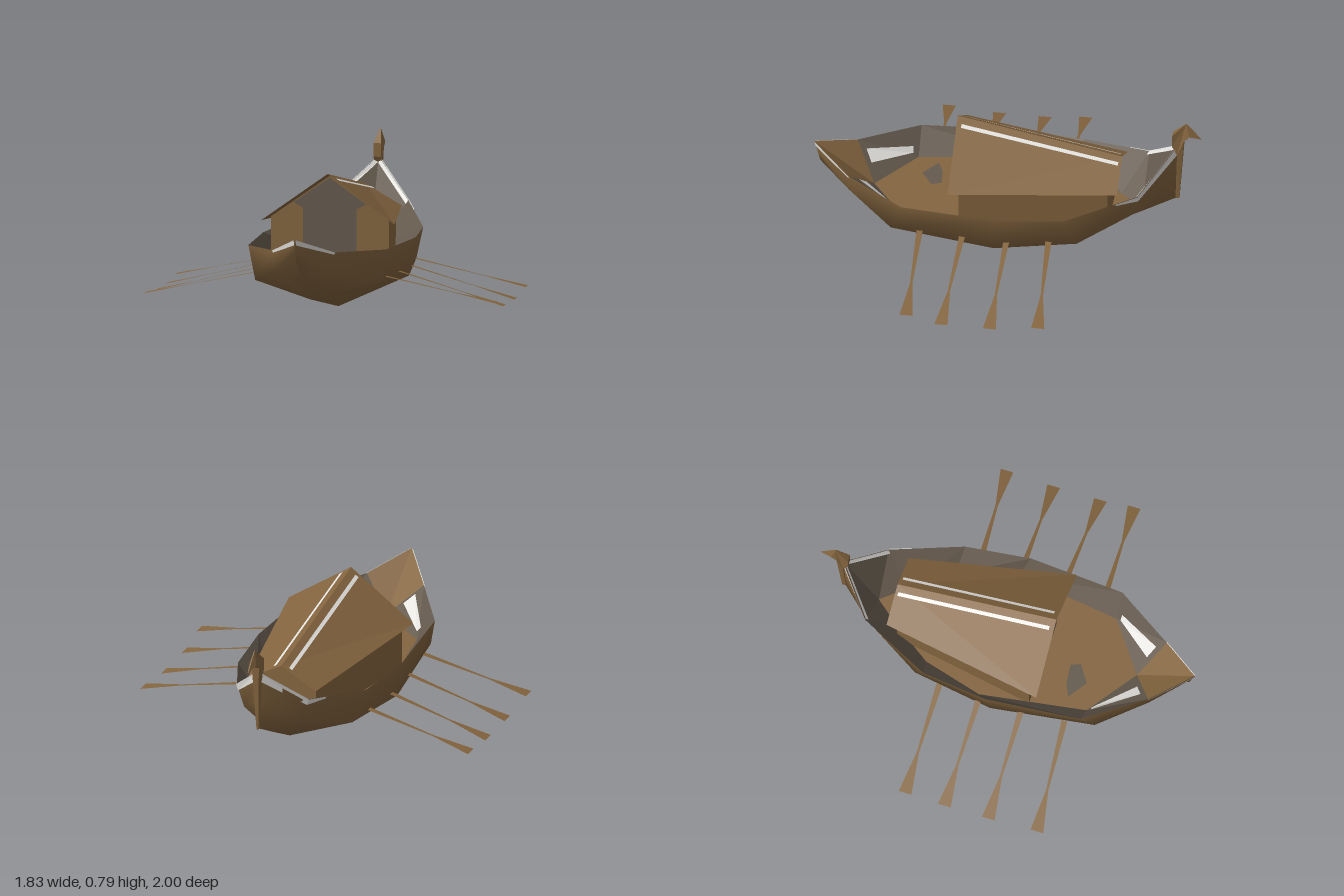
import * as THREE from 'three';

const material = (name, color) => {
  const m = new THREE.MeshStandardMaterial({ color, side: THREE.DoubleSide });
  m.name = name;
  return m;
};

export function createModel() {
  const group = new THREE.Group();
  const wood = material('brown wood', 0x84653f);
  const worn = material('grey wood', 0x655a4e);
  const white = material('white trim', 0xe6e4e0);

  const add = (name, geometry, mat) => {
    const mesh = new THREE.Mesh(geometry, mat);
    mesh.name = name;
    group.add(mesh);
    return mesh;
  };
  // Surface through rows of points, one row per cross-section
  const loft = (rows, smooth = false) => {
    const n = rows[0].length, index = [];
    for (let i = 0; i < rows.length - 1; i++) {
      for (let j = 0; j < n - 1; j++) {
        const a = i * n + j, b = a + 1, c = a + n, d = c + 1;
        index.push(a, b, c, b, d, c);
      }
    }
    let g = new THREE.BufferGeometry();
    g.setAttribute('position', new THREE.Float32BufferAttribute(rows.flat(2), 3));
    g.setIndex(index);
    if (!smooth) g = g.toNonIndexed();
    g.computeVertexNormals();
    return g;
  };
  const strip = (p, q) => loft(p.map((a, i) => [a, q[i]]));
  // Flat polygon fanned from its first corner
  const fan = (pts) => {
    const index = [];
    for (let i = 1; i < pts.length - 1; i++) index.push(0, i, i + 1);
    const g = new THREE.BufferGeometry();
    g.setAttribute('position', new THREE.Float32BufferAttribute(pts.flat(), 3));
    g.setIndex(index);
    g.computeVertexNormals();
    return g;
  };
  const mirrored = (name, geometry, mat) => {
    add('left' + name, geometry, mat);
    add('right' + name, geometry, mat).scale.x = -1;
  };
  const lerp = (a, b, t) => a.map((v, i) => v + (b[i] - v) * t);
  const shift = (p, x, y, z) => [p[0] + x, p[1] + y, p[2] + z];
  const flip = ([x, y, z]) => [-x, y, z];

  // Hull stations from bow to stern: sheer, chine, keel
  const stations = [
    [[0, 0.475, 1], [0, 0.42, 0.985], [0, 0.36, 0.97]],
    [[0.16, 0.39, 0.8], [0.14, 0.29, 0.8], [0, 0.235, 0.8]],
    [[0.36, 0.37, 0.5], [0.31, 0.2, 0.56], [0, 0.12, 0.64]],
    [[0.4, 0.365, 0], [0.37, 0.17, 0.02], [0, 0, 0.02]],
    [[0.36, 0.37, -0.34], [0.31, 0.2, -0.4], [0, 0.1, -0.49]],
    [[0.2, 0.45, -0.7], [0.16, 0.33, -0.7], [0, 0.22, -0.7]],
    [[0, 0.65, -0.88], [0, 0.48, -0.875], [0, 0.32, -0.87]],
  ];
  add('hull', loft(stations.map(([s, c, k]) => [s, c, k, flip(c), flip(s)]), true), wood);

  // Deck and the sloping inner walls
  const sheer = stations.map((s) => s[0]);
  const Y = 0.24;
  const edge = [[0, Y, 0.69], [0, Y, 0.69], [0.26, Y, 0.5], [0.34, Y, -0.05],
    [0.25, Y, -0.36], [0.1, Y, -0.57], [0, Y, -0.69]];
  const deckEdge = edge.slice(1);
  add('deck', strip(deckEdge.map(flip), deckEdge), wood);
  mirrored('BowLining', strip(edge.slice(0, 2), sheer.slice(0, 2)), wood);
  mirrored('InnerWall', strip(edge.slice(1), sheer.slice(1)), worn);
  add('wornDeckPatch', fan([[-0.22, Y + 0.005, 0.39], [-0.12, Y + 0.005, 0.46],
    [-0.03, Y + 0.005, 0.4], [-0.05, Y + 0.005, 0.35], [-0.15, Y + 0.005, 0.36]]), worn);

  // White bands outside the bow and stern rims
  const band = (a, b, tA, tB) => {
    const top = [a[0], b[0]].map((p) => shift(p, 0.005, 0, 0));
    const low = [lerp(a[0], a[1], tA), lerp(b[0], b[1], tB)].map((p) => shift(p, 0.005, 0, 0));
    return strip(top, low);
  };
  const quarter = [0, 1, 2].map((k) => lerp(stations[4][k], stations[5][k], 0.7));
  mirrored('BowBand', band(stations[0], stations[1], 0.5, 0.12), white);
  mirrored('QuarterBand', band(quarter, stations[5], 0.08, 0.28), white);
  mirrored('SternBand', band(stations[5], stations[6], 0.28, 0.3), white);

  // White trim on the inner walls
  const inner = (i, u, t) => shift(
    lerp(lerp(edge[i], edge[i + 1], u), lerp(sheer[i], sheer[i + 1], u), t), -0.003, 0.006, 0);
  mirrored('BowStripe', strip([inner(1, 0.08, 0.42), inner(1, 0.88, 0.2)],
    [inner(1, 0.08, 0.75), inner(1, 0.88, 0.4)]), white);
  mirrored('SternRim', strip([inner(5, 0, 0.9), inner(5, 0.97, 0.92)],
    [inner(5, 0, 0.99), inner(5, 0.97, 0.99)]), white);

  // Tapered gable roof with two ridge stripes
  const roof = (x, z, lift = 0) => {
    const t = (0.26 - z) / 0.85;
    const half = 0.35 - 0.16 * t, apex = 0.715 - 0.167 * t, eave = 0.465 - 0.025 * t;
    return [x, apex - (apex - eave) * x / half + lift, z];
  };
  mirrored('RoofSlope', strip([roof(0, 0.26), roof(0, -0.59)],
    [roof(0.35, 0.26), roof(0.19, -0.59)]), wood);
  mirrored('RoofStripe', strip([roof(0.036, 0.235, 0.006), roof(0.036, -0.575, 0.006)],
    [roof(0.053, 0.235, 0.006), roof(0.053, -0.575, 0.006)]), white);

  // Cabin walls under the roof
  const wall = (half, z) => {
    const top = roof(half, z, -0.006);
    return [roof(0, z, -0.006), flip(top), [-half, Y, z], [half, Y, z], top];
  };
  const front = wall(0.31, 0.21), back = wall(0.17, -0.54);
  add('cabinFront', fan(front), wood);
  add('cabinBack', fan([...back].reverse()), wood);
  mirrored('CabinSide', strip([front[4], back[4]], [front[3], back[3]]), wood);
  add('cabinFrontPanel', fan([[0, 0.69], [-0.19, 0.558], [-0.14, 0.53], [-0.14, Y],
    [0.14, Y], [0.14, 0.53], [0.19, 0.558]].map(([x, y]) => [x, y, 0.215])), worn);

  // Carved stern post, pinched at crest and beak
  const outline = [[-0.865, 0.32], [-0.875, 0.6], [-0.85, 0.65], [-0.85, 0.72], [-0.92, 0.79],
    [-1, 0.7], [-0.94, 0.72], [-0.91, 0.69], [-0.885, 0.32]];
  const post = new THREE.ExtrudeGeometry(
    new THREE.Shape(outline.map(([z, y]) => new THREE.Vector2(-z, y))),
    { depth: 0.04, bevelEnabled: false });
  post.translate(0, 0, -0.02).rotateY(Math.PI / 2);
  const pos = post.attributes.position;
  for (let i = 0; i < pos.count; i++) {
    const y = pos.getY(i), z = pos.getZ(i);
    const width = y > 0.78 || z < -0.98 ? 0.08 : y < 0.4 ? 0.25 : 1;
    pos.setX(i, pos.getX(i) * width);
  }
  post.computeVertexNormals();
  add('sternPost', post, wood);

  // Flat oars: side, root z, tip z, tip height
  const oars = [
    [1, 0.405, 0.39, 0.1], [1, 0.185, 0.21, 0.06], [1, -0.045, -0.04, 0.06], [1, -0.26, -0.29, 0.09],
    [-1, 0.41, 0.44, 0.1], [-1, 0.18, 0.18, 0.08], [-1, -0.045, -0.055, 0.08], [-1, -0.26, -0.265, 0.1],
  ];
  for (const [side, z0, z1, tipY] of oars) {
    const rows = [[0.34, 0.016], [0.7, 0.006], [0.915, 0.034]].map(([x, w]) => {
      const t = (x - 0.36) / 0.555;
      const y = 0.215 + (tipY - 0.215) * t, z = z0 + (z1 - z0) * t;
      return [[side * x, y, z + side * w], [side * x, y, z - side * w]];
    });
    add('oar', loft(rows), wood);
  }
  return group;
}
